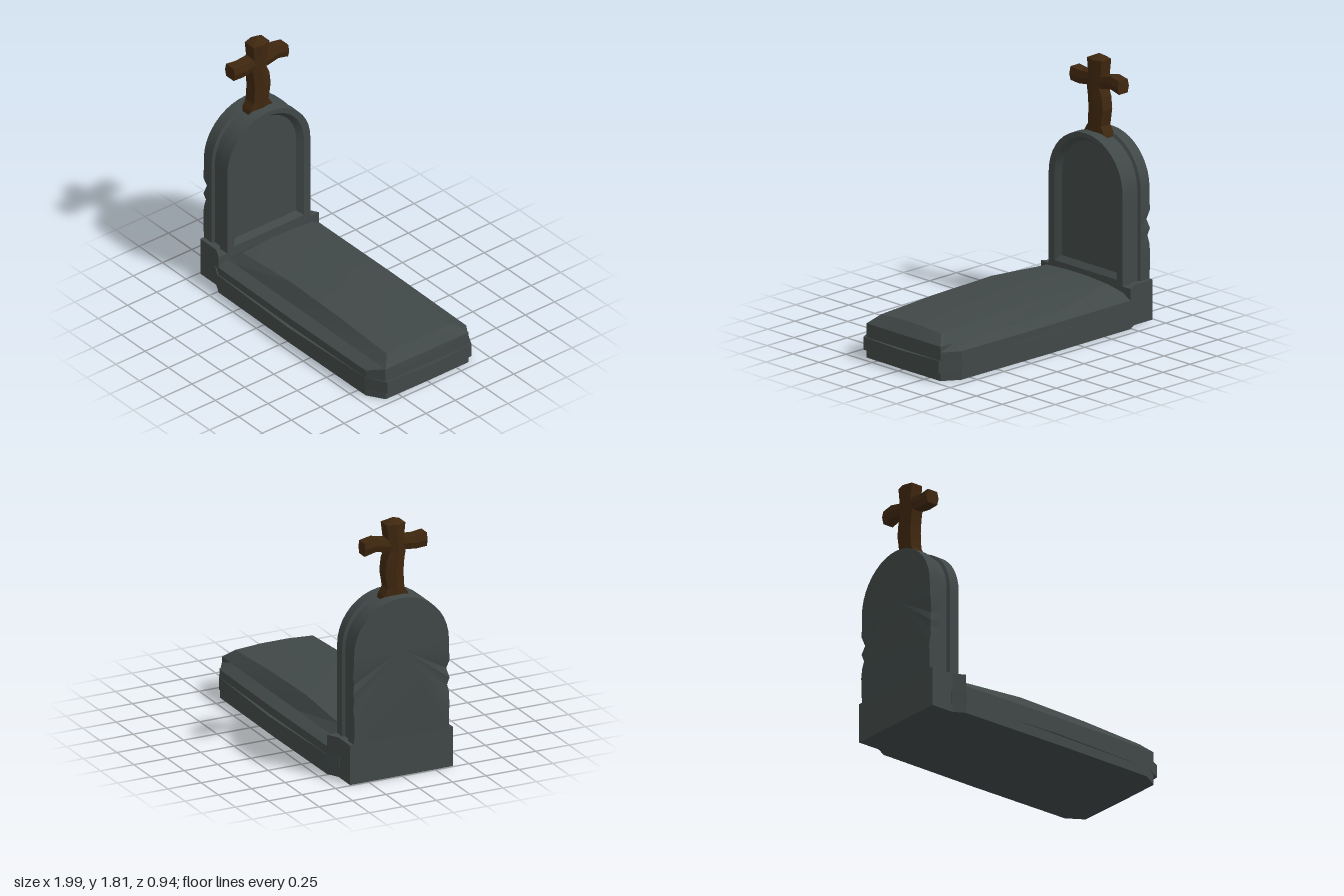
import * as THREE from 'three';
import { toCreasedNormals } from 'three/addons/utils/BufferGeometryUtils.js';

const stone = new THREE.MeshStandardMaterial({ color: 0x404847 });
stone.name = 'darkStone';
const wood = new THREE.MeshStandardMaterial({ color: 0x3f270f });
wood.name = 'darkWood';

// Closed solid through matching rings of [x, y, z] points, capped at both ends
function loft(name, rings, material, crease = 0.3) {
  const tris = [];
  const n = rings[0].length;
  for (let r = 0; r < rings.length - 1; r++) {
    const a = rings[r], b = rings[r + 1];
    for (let i = 0; i < n; i++) {
      const j = (i + 1) % n;
      tris.push([a[i], a[j], b[j]], [a[i], b[j], b[i]]);
    }
  }
  const cap = (ring, flip) => {
    const c = [0, 1, 2].map(k => ring.reduce((s, p) => s + p[k], 0) / n);
    ring.forEach((p, i) => {
      const q = ring[(i + 1) % n];
      tris.push(flip ? [c, q, p] : [c, p, q]);
    });
  };
  cap(rings[0], true);
  cap(rings[rings.length - 1], false);

  // Turn the solid outward if its signed volume is negative
  const v = p => new THREE.Vector3(...p);
  let volume = 0;
  const kept = tris.filter(([a, b, c]) => {
    const area = v(b).sub(v(a)).cross(v(c).sub(v(a))).length();
    volume += v(a).dot(v(b).cross(v(c)));
    return area > 1e-8;
  });
  if (volume < 0) kept.forEach(t => t.reverse());

  const geo = new THREE.BufferGeometry();
  geo.setAttribute('position', new THREE.Float32BufferAttribute(kept.flat(2), 3));
  const mesh = new THREE.Mesh(toCreasedNormals(geo, crease), material);
  mesh.name = name;
  return mesh;
}

// Plan outline mirrored across z = 0, given its [x, z] points on the +z side
function plan(y, points) {
  const near = points.map(([x, z]) => [x, y, z]);
  const far = points.slice().reverse().map(([x, z]) => [x, y, -z]);
  return [...near, ...far];
}

// Arched outline across the headstone; chip roughens its sides
const SIDE = [0, 0.28, 0.4, 0.48, 0.56, 0.66, 0.76, 0.88];
const CHIPS = [[0, 0], [-0.006, 0], [0.006, 0.004], [0.012, -0.008], [0.002, 0.006],
  [0.02, -0.01], [0.004, 0.008], [0, 0]];
function arch(x, w, top, bottom, chipped = false) {
  const spring = 0.92, half = [];
  SIDE.forEach((t, i) => {
    const y = bottom + (spring - bottom) * t;
    const [dx, dz] = chipped ? CHIPS[i] : [0, 0];
    half.push([x + dx, y, w + dz]);
  });
  const steps = 10;
  for (let i = 0; i < steps; i++) {
    const a = (i / steps) * Math.PI / 2;
    half.push([x, spring + (top - spring) * Math.sin(a), w * Math.cos(a)]);
  }
  const other = half.slice().reverse().map(([px, py, pz]) => [px, py, -pz]);
  return [...half, [x, top, 0], ...other];
}

function makeHeadstone() {
  const g = new THREE.Group();
  g.name = 'headstone';
  // Arched stone with a groove round its edge and a sunken front panel
  g.add(loft('archedStone', [
    arch(-0.99, 0.355, 1.272, 0.28, true),
    arch(-0.905, 0.357, 1.275, 0.28),
    arch(-0.895, 0.336, 1.254, 0.28),
    arch(-0.828, 0.336, 1.254, 0.28),
    arch(-0.818, 0.357, 1.275, 0.28),
    arch(-0.74, 0.355, 1.273, 0.28),
    arch(-0.74, 0.3, 1.24, 0.315),
    arch(-0.775, 0.262, 1.21, 0.35),
  ], stone, 0.45));
  // Foot block, flaring towards the slab
  const foot = [[-0.99, 0.385], [-0.82, 0.385], [-0.74, 0.43]];
  g.add(loft('footBlock', [plan(0, foot), plan(0.282, foot)], stone));
  return g;
}

function makeSlab() {
  const g = new THREE.Group();
  g.name = 'graveSlab';
  // Body with clipped corners, sloping in to the lid
  const body = [[-0.74, 0.43], [0.04, 0.436], [0.83, 0.43], [0.95, 0.355], [0.953, 0]];
  const shoulder = [[-0.74, 0.355], [0.04, 0.355], [0.83, 0.355], [0.95, 0.355], [0.95, 0]];
  g.add(loft('slabBody', [plan(0, body), plan(0.2, body), plan(0.24, shoulder)], stone));

  // Flared moulding, bowed outwards along the sides and end
  const inner = [[-0.83, 0.375], [-0.74, 0.425], [0.04, 0.43], [0.83, 0.425], [0.945, 0.35], [0.945, 0]];
  const outer = [[-0.83, 0.388], [-0.74, 0.442], [0.04, 0.468], [0.83, 0.438], [0.975, 0.36], [0.995, 0]];
  g.add(loft('slabMoulding', [
    plan(0.075, inner), plan(0.06, outer), plan(0.15, outer), plan(0.14, inner),
  ], stone));

  // Lid with a slightly crowned top, as cross-sections along x
  const section = (x, h) => {
    const e = 0.355, top = 0.24 + h;
    const zs = h ? [0.29, 0.1, -0.1, -0.29] : [e, 0.1, -0.1, -e];
    const crown = h ? 0.012 : 0;
    return [[x, 0.24, e], [x, top - crown, zs[0]], [x, top, zs[1]],
      [x, top, zs[2]], [x, top - crown, zs[3]], [x, 0.24, -e]];
  };
  g.add(loft('slabLid', [
    section(-0.74, 0), section(-0.66, 0.075), section(-0.15, 0.112),
    section(0.4, 0.1), section(0.88, 0.074), section(0.95, 0),
  ], stone, 0.2));
  return g;
}

function makeCross() {
  const g = new THREE.Group();
  g.name = 'cross';
  const cx = -0.865;
  // Crooked post with a six-sided section: [y, right edge z, left edge z]
  const post = [
    [1.24, -0.1, 0.1], [1.27, -0.09, 0.09], [1.315, -0.062, 0.062], [1.43, -0.08, 0.055],
    [1.52, -0.07, 0.062], [1.58, -0.045, 0.072], [1.68, -0.058, 0.06], [1.775, -0.07, 0.07],
  ].map(([y, a, b]) => {
    const m = (a + b) / 2;
    return [[cx - 0.065, y, m], [cx - 0.045, y, b], [cx + 0.045, y, b],
      [cx + 0.065, y, m], [cx + 0.045, y, a], [cx - 0.045, y, a]];
  });
  post.push(post[0].map(() => [cx, 1.81, 0]));
  g.add(loft('crossPost', post, wood, 0.15));

  // Bent arm: [z, lower y, upper y]
  const arm = [
    [0.233, 1.575, 1.672], [0.15, 1.57, 1.662], [0.065, 1.582, 1.67],
    [-0.06, 1.58, 1.668], [-0.15, 1.598, 1.688], [-0.233, 1.578, 1.672],
  ].map(([z, lo, hi]) => {
    const m = (lo + hi) / 2;
    return [[cx - 0.04, lo, z], [cx - 0.052, m, z], [cx - 0.04, hi, z],
      [cx + 0.04, hi, z], [cx + 0.052, m, z], [cx + 0.04, lo, z]];
  });
  g.add(loft('crossArm', arm, wood, 0.15));
  return g;
}

export function createModel() {
  const model = new THREE.Group();
  model.name = 'grave';
  model.add(makeHeadstone(), makeSlab(), makeCross());
  return model;
}
